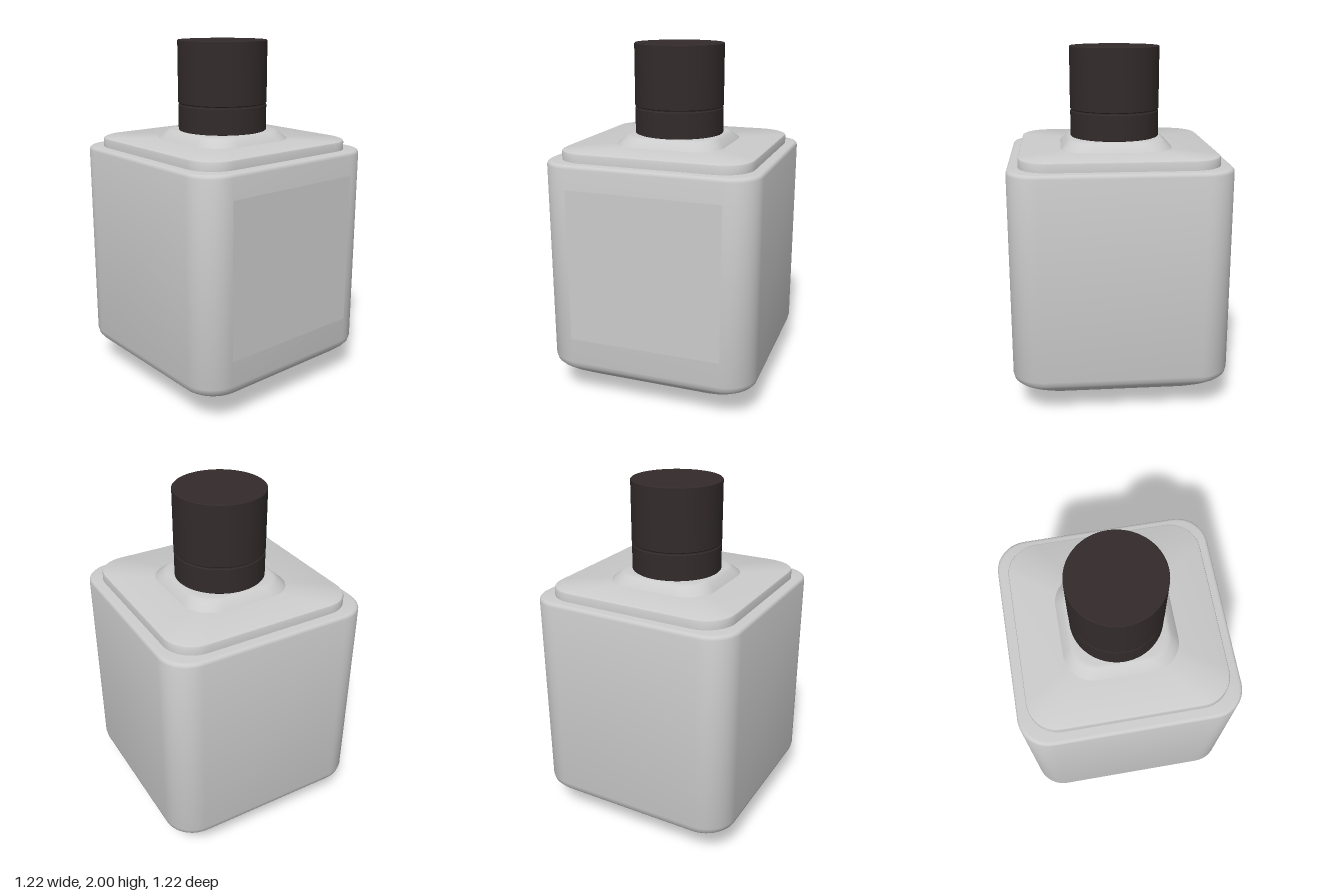
import * as THREE from 'three';
import { toCreasedNormals } from 'three/addons/utils/BufferGeometryUtils.js';

const CORNER_STEPS = 10;

// Outline of a rounded square, counter-clockwise seen from above
function roundedSquare(half, radius, y) {
  const points = [];
  for (let q = 0; q < 4; q++) {
    for (let i = 0; i <= CORNER_STEPS; i++) {
      const a = (q + i / CORNER_STEPS) * Math.PI / 2;
      const m = Math.PI / 4 + q * Math.PI / 2;
      const c = (half - radius) * Math.SQRT2;
      points.push([c * Math.cos(m) + radius * Math.cos(a), y, -c * Math.sin(m) - radius * Math.sin(a)]);
    }
  }
  return points;
}

// Skin over rounded squares given as [half width, corner radius, y], closed at both ends
function loft(sections, crease = 0.6) {
  const n = 4 * (CORNER_STEPS + 1);
  const positions = sections.flatMap((s) => roundedSquare(...s)).flat();
  const index = [];
  for (let s = 0; s < sections.length - 1; s++) {
    for (let j = 0; j < n; j++) {
      const k = (j + 1) % n;
      const a = s * n + j, b = s * n + k, c = b + n, d = a + n;
      index.push(a, b, c, a, c, d);
    }
  }
  const last = sections.length - 1;
  positions.push(0, sections[0][2], 0, 0, sections[last][2], 0);
  const bottom = n * sections.length;
  for (let j = 0; j < n; j++) {
    const k = (j + 1) % n;
    index.push(bottom, k, j, bottom + 1, last * n + j, last * n + k);
  }
  const geometry = new THREE.BufferGeometry();
  geometry.setAttribute('position', new THREE.Float32BufferAttribute(positions, 3));
  geometry.setIndex(index);
  return toCreasedNormals(geometry, crease);
}

export function createModel() {
  const model = new THREE.Group();
  const glass = new THREE.MeshStandardMaterial({ color: 0xcccccc });
  const dark = new THREE.MeshStandardMaterial({ color: 0x332b2b });
  const add = (name, geometry, material) => {
    const mesh = new THREE.Mesh(geometry, material);
    mesh.name = name;
    model.add(mesh);
    return mesh;
  };

  // Square bottle with a bowl-shaped underside and softened rim
  add('bottleBody', loft([
    [0.23, 0.10, 0], [0.33, 0.13, 0.03], [0.42, 0.15, 0.067], [0.5, 0.16, 0.112],
    [0.56, 0.17, 0.152], [0.59, 0.17, 0.178], [0.604, 0.17, 0.197], [0.61, 0.17, 0.225],
    [0.61, 0.17, 1.365], [0.607, 0.17, 1.377], [0.6, 0.165, 1.384], [0.59, 0.16, 1.386],
  ]), glass);

  // Raised shoulder plate
  add('shoulder', loft([
    [0.548, 0.17, 1.375], [0.548, 0.17, 1.428], [0.545, 0.17, 1.436], [0.535, 0.165, 1.441],
  ]), glass);

  // Flared collar under the cap
  add('collar', loft([
    [0.318, 0.165, 1.435], [0.315, 0.165, 1.442], [0.275, 0.15, 1.48], [0.265, 0.145, 1.488], [0.25, 0.14, 1.491],
  ]), glass);

  // Round cap with a fine groove above its lower ring
  const capProfile = [
    [0, 1.488], [0.25, 1.488], [0.255, 1.493], [0.255, 1.635], [0.251, 1.64], [0.251, 1.645],
    [0.256, 1.65], [0.256, 1.996], [0.252, 2], [0, 2],
  ].map(([x, y]) => new THREE.Vector2(x, y));
  add('cap', toCreasedNormals(new THREE.LatheGeometry(capProfile, 64), 0.6), dark);

  // Thin flat label on the front
  const label = add('frontLabel', new THREE.PlaneGeometry(0.88, 0.88), glass);
  label.position.set(0, 0.81, 0.612);

  return model;
}
